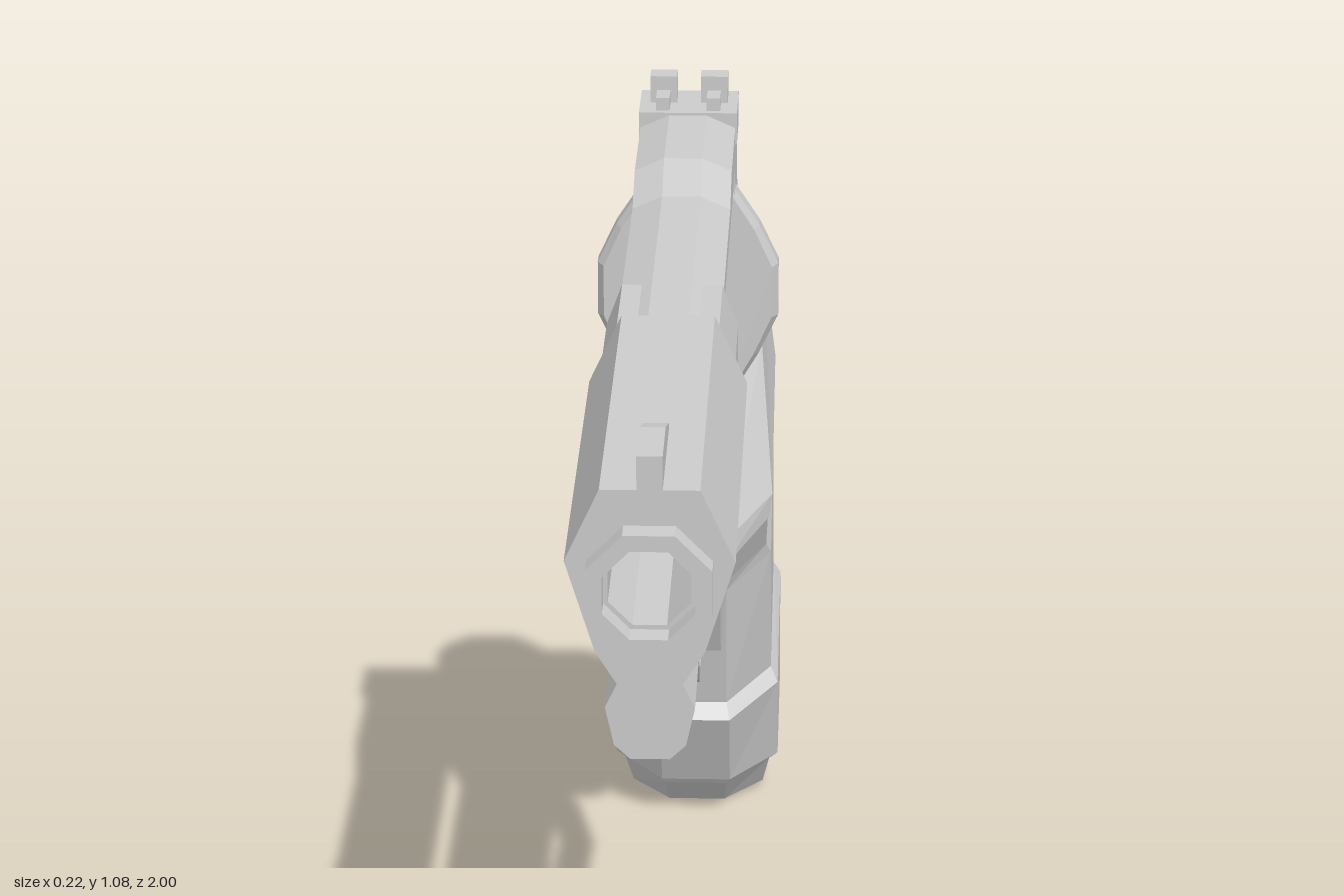
import * as THREE from 'three';

const mat = new THREE.MeshStandardMaterial({ color: 0xcccccc, flatShading: true });

function toShape(pts) {
  return new THREE.Shape(pts.map(p => new THREE.Vector2(p[0], p[1])));
}

// Side profile of [z, y] points, extruded across x
function sideExtrude(pts, x0, x1) {
  const g = new THREE.ExtrudeGeometry(toShape(pts), { depth: x1 - x0, bevelEnabled: false });
  return g.rotateY(-Math.PI / 2).translate(x1, 0, 0);
}

// Right half of a front section, [x, y] from top to bottom, mirrored and extruded along z
function frontExtrude(half, z0, z1, holeRadius) {
  const left = half.map(([x, y]) => [-x, y]).reverse();
  const shape = toShape([...half, ...left]);
  if (holeRadius) shape.holes.push(new THREE.Path(octagon(holeRadius)));
  return new THREE.ExtrudeGeometry(shape, { depth: z1 - z0, bevelEnabled: false }).translate(0, 0, z0);
}

// Octagon on the bore axis
function octagon(r) {
  return Array.from({ length: 8 }, (_, i) => {
    const a = (i + 0.5) * Math.PI / 4;
    return new THREE.Vector2(r * Math.cos(a), BORE_Y + r * Math.sin(a));
  });
}
const BORE_Y = 0.93;

// Skin over rings of [x, y, z], counter-clockwise as seen from the first end, capped
function loft(rings) {
  const n = rings[0].length, last = (rings.length - 1) * n, index = [];
  for (let i = 0; i < rings.length - 1; i++) {
    for (let j = 0; j < n; j++) {
      const a = i * n + j, b = i * n + (j + 1) % n;
      index.push(a, a + n, b, b, a + n, b + n);
    }
  }
  for (let j = 1; j < n - 1; j++) {
    index.push(0, j, j + 1, last, last + j + 1, last + j);
  }
  const g = new THREE.BufferGeometry();
  g.setAttribute('position', new THREE.Float32BufferAttribute(rings.flat(2), 3));
  g.setIndex(index);
  g.computeVertexNormals();
  return g;
}

// Open frame outline: top strap, rear, lower strap and front column
function frameOutline(columnTop, rear) {
  const front = 0.41 - Math.max(0, 0.75 - columnTop) * 0.4;
  const column = columnTop > 0.75 ? [[0.41, 0.75]] : [];
  return [
    [0.27, columnTop], [0.27, 0.655], [-0.265, 0.655], [-0.303, 0.695], [-0.303, 0.985],
    [0.41, 0.985], [0.41, 1.025], [-0.05, 1.025], [-0.12, 1.05],
    ...rear,
    [-0.6, 0.5], [-0.4, 0.45], [-0.385, 0.55], [-0.3, 0.605], [0.3, 0.61], [0.355, 0.625],
    ...column, [front, columnTop],
  ];
}

export function createModel() {
  const model = new THREE.Group();
  const add = (name, geometry, parent = model) => {
    const mesh = new THREE.Mesh(geometry, mat);
    mesh.name = name;
    parent.add(mesh);
    return mesh;
  };
  const box = (name, x0, x1, y0, y1, z0, z1, parent) =>
    add(name, new THREE.BoxGeometry(x1 - x0, y1 - y0, z1 - z0), parent)
      .position.set((x0 + x1) / 2, (y0 + y1) / 2, (z0 + z1) / 2);

  // Barrel with underlug
  add('barrel', frontExtrude([
    [0.05, 1.03], [0.085, 0.955], [0.055, 0.86], [0.033, 0.825],
    [0.045, 0.8], [0.036, 0.76], [0.02, 0.745],
  ], 0.41, 0.97, 0.045));
  const ring = new THREE.Shape(octagon(0.068));
  ring.holes.push(new THREE.Path(octagon(0.05)));
  add('muzzle', new THREE.ExtrudeGeometry(ring, { depth: 0.04, bevelEnabled: false }).translate(0, 0, 0.96));
  add('boreEnd', new THREE.CircleGeometry(0.05, 8).translate(0, BORE_Y, 0.6));
  box('ejectorRodTip', -0.02, 0.05, 0.757, 0.808, 0.55, 0.66);
  box('ejectorRod', 0.02, 0.044, 0.77, 0.8, 0.4, 0.55);
  add('frontSight', sideExtrude(
    [[0.97, 1.02], [0.97, 1.065], [0.88, 1.065], [0.78, 1.035], [0.78, 1.02]], -0.013, 0.013));

  // Block joining barrel and frame
  add('barrelShank', frontExtrude(
    [[0.055, 1.02], [0.072, 0.975], [0.072, 0.875], [0.05, 0.845], [0.02, 0.83]], 0.27, 0.41, 0.032));

  // Frame: two side plates, a core with the hammer channel cut in, and a crane notch on one side
  const frame = new THREE.Group();
  frame.name = 'frame';
  model.add(frame);
  const sideRear = [[-0.4, 1.05], [-0.4, 0.985], [-0.46, 0.865], [-0.55, 0.83], [-0.63, 0.79]];
  const coreRear = [[-0.35, 1.05], [-0.35, 0.96], [-0.41, 0.83], [-0.5, 0.785], [-0.63, 0.76]];
  const plates = [
    ['leftPlate', 0.72, 0.022, 0.056, sideRear],
    ['core', 0.87, -0.022, 0.022, coreRear],
    ['rightPlate', 0.87, -0.056, -0.022, sideRear],
  ];
  for (const [name, top, x0, x1, rear] of plates) {
    const g = sideExtrude(frameOutline(top, rear), x0, x1);
    const p = g.attributes.position;
    // Chamfer the outer top edges
    for (let i = 0; i < p.count; i++) {
      if (p.getY(i) > 1 && Math.abs(p.getX(i)) > 0.05) p.setY(i, p.getY(i) - 0.015);
    }
    g.computeVertexNormals();
    add(name, g, frame);
  }
  box('lowerRail', -0.035, 0.035, 0.597, 0.612, -0.3, 0.29, frame);

  // Recoil shield behind the open window
  const shieldHalf = [[0.055, -0.13], [0.085, -0.08], [0.108, -0.032], [0.108, 0.032], [0.085, 0.08], [0.055, 0.125]];
  const shieldOutline = [...shieldHalf, ...shieldHalf.map(([x, y]) => [-x, y]).reverse()];
  add('recoilShield', loft(
    [[-0.297, 0.93, 0.97], [-0.31, 1, 1], [-0.335, 1, 1], [-0.37, 0.5, 0.8]].map(([z, sx, sy]) =>
      shieldOutline.map(([x, y]) => [x * sx, 0.833 + y * sy, z]))));

  // Rear sight
  const rearSight = new THREE.Group();
  rearSight.name = 'rearSight';
  model.add(rearSight);
  box('sightBase', -0.058, 0.058, 1.015, 1.053, -0.398, -0.3, rearSight);
  for (const s of [-1, 1]) {
    const x = s * 0.03;
    box('sightPost', x - 0.016, x + 0.016, 1.05, 1.085, -0.375, -0.345, rearSight);
    box('sightEar', x - 0.008, x + 0.008, 1.05, 1.068, -0.345, -0.31, rearSight);
  }

  // Trigger guard
  add('triggerGuard', sideExtrude([
    [-0.07, 0.605], [-0.085, 0.47], [-0.15, 0.39], [-0.29, 0.378], [-0.37, 0.44], [-0.395, 0.55],
    [-0.38, 0.55], [-0.357, 0.447], [-0.284, 0.392], [-0.155, 0.403], [-0.099, 0.475], [-0.084, 0.605],
  ], -0.019, 0.019));

  // Grip: rings given as front [z, y], back [z, y], half width; paired rings form the ridges
  const gripRings = [
    [-0.61, 0.79, -0.70, 0.80, 0.055],
    [-0.50, 0.665, -0.735, 0.77, 0.085],
    [-0.405, 0.475, -0.745, 0.675, 0.1],
    [-0.40, 0.442, -0.755, 0.66, 0.096],
    [-0.52, 0.45, -0.775, 0.635, 0.095],
    [-0.59, 0.352, -0.868, 0.522, 0.09],
    [-0.602, 0.338, -0.878, 0.505, 0.096],
    [-0.636, 0.172, -0.968, 0.298, 0.096],
    [-0.62, 0.153, -0.979, 0.283, 0.105],
    [-0.667, 0.052, -0.997, 0.113, 0.105],
    [-0.672, 0.045, -0.994, 0.095, 0.094],
    [-0.72, 0.003, -0.972, 0.036, 0.085],
  ];
  const gripSection = [[0, 0.42], [0.2, 1], [0.78, 1], [1, 0.4], [1, -0.4], [0.78, -1], [0.2, -1], [0, -0.42]];
  add('grip', loft(gripRings.map(([fz, fy, bz, by, w]) =>
    gripSection.map(([t, x]) => [x * w, fy + (by - fy) * t, fz + (bz - fz) * t]))));

  return model;
}
